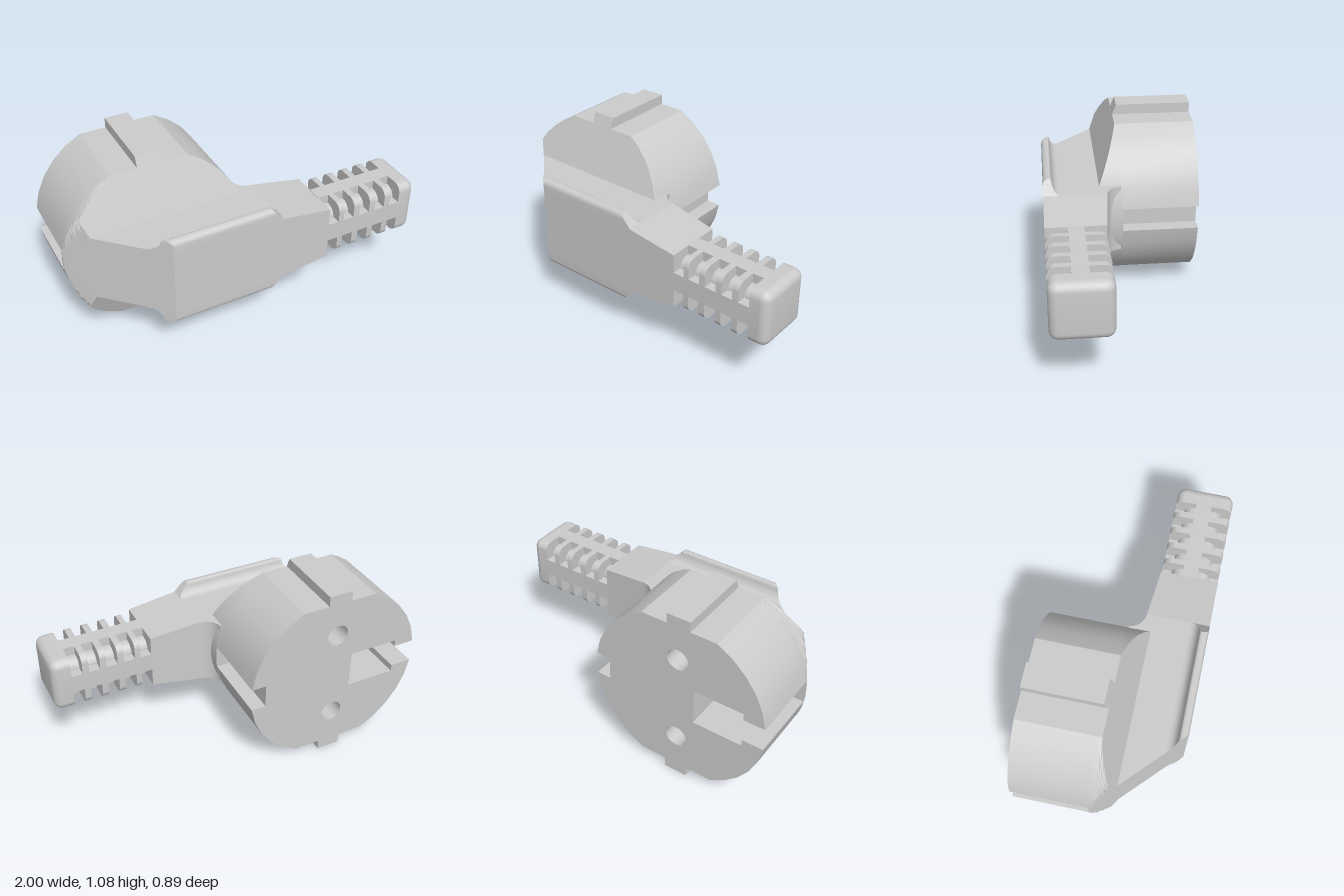
import * as THREE from 'three';
import { toCreasedNormals } from 'three/addons/utils/BufferGeometryUtils.js';
import { RoundedBoxGeometry } from 'three/addons/geometries/RoundedBoxGeometry.js';

const material = new THREE.MeshStandardMaterial({ color: 0xcccccc });
const CX = -0.47, CY = 0.54, R = 0.53, FLAT = 0.48;   // head centre, radius, flat top/bottom
const slopeX = z => -1 + z * 1.045;                   // slanted left side of the body
const roofH = z => Math.min(FLAT, 0.54 - (z + 0.01) * 2.48); // sloping shoulders

function add(parent, name, geometry, crease = 0.5) {
  const mesh = new THREE.Mesh(toCreasedNormals(geometry, crease), material);
  mesh.name = name;
  parent.add(mesh);
  return mesh;
}

// Points given as [x, y]
const polygon = pts => new THREE.Shape(pts.map(p => new THREE.Vector2(p[0], p[1])));

const extrude = (shape, depth) =>
  new THREE.ExtrudeGeometry(shape, { depth, bevelEnabled: false, curveSegments: 8 });

// Extrudes a profile of (-z, y) along x
const alongX = (shape, x0, x1) => extrude(shape, x1 - x0).rotateY(Math.PI / 2).translate(x0, 0, 0);

function moveVertices(geometry, rule) {
  const p = geometry.attributes.position, v = new THREE.Vector3();
  for (let i = 0; i < p.count; i++) {
    rule(v.fromBufferAttribute(p, i));
    p.setXYZ(i, v.x, v.y, v.z);
  }
  return geometry;
}

function roundedRect(w, h, r) {
  const s = new THREE.Shape(), a = w / 2 - r, b = h / 2 - r, q = Math.PI / 2;
  s.absarc(a, b, r, 0, q);
  s.absarc(-a, b, r, q, 2 * q);
  s.absarc(-a, -b, r, 2 * q, 3 * q);
  s.absarc(a, -b, r, 3 * q, 4 * q);
  return s;
}

// Round head with side grooves, earth pocket and two pin holes
function headGeometry() {
  const pts = [], g = 0.07;
  const a0 = Math.asin(g / R), a1 = Math.asin(FLAT / R), n = 5;
  const arc = (from, to) => {
    for (let i = 0; i <= n; i++) {
      const a = from + (to - from) * i / n;
      pts.push([R * Math.cos(a), R * Math.sin(a)]);
    }
  };
  arc(a0, a1);
  arc(Math.PI - a1, Math.PI - a0);
  pts.push([-0.4, g], [-0.4, 0.11], [-0.105, 0.11], [-0.105, -0.11], [-0.4, -0.11], [-0.4, -g]);
  arc(Math.PI + a0, Math.PI + a1);
  arc(-a1, -a0);
  pts.push([0.44, -g], [0.44, g]);
  const shape = polygon(pts);
  for (const s of [-1, 1]) {
    shape.holes.push(new THREE.Path().absarc(0, s * 0.27, 0.065, 0, Math.PI * 2, true));
  }
  return extrude(shape, 0.44).translate(CX, CY, -0.45);
}

// Shoulder: disc sections cut by the two sloping planes and the slanted side
function shoulderGeometry() {
  const zs = [-0.01, 0.002, 0.0142, 0.03, 0.05, 0.07, 0.09, 0.108, 0.125], N = 20;
  const pos = [];
  const quad = (a, b, c, d) => pos.push(...a, ...b, ...c, ...a, ...c, ...d);
  const layers = zs.map(z => {
    const right = [], left = [];
    for (let j = 0; j <= N; j++) {
      const y = roofH(z) * (2 * j / N - 1), x = Math.sqrt(R * R - y * y);
      right.push([CX + x, CY + y, z]);
      left.push([Math.max(CX - x, slopeX(z)), CY + y, z]);
    }
    return [...right, ...left.reverse()];
  });
  const M = 2 * (N + 1);
  for (let k = 0; k < zs.length - 1; k++) {
    const a = layers[k], b = layers[k + 1];
    for (let i = 0; i < M; i++) {
      const j = (i + 1) % M;
      quad(a[i], a[j], b[j], b[i]);
    }
  }
  const back = layers[0];
  for (let j = 0; j < N; j++) quad(back[j], back[M - 1 - j], back[M - 2 - j], back[j + 1]);
  const geo = new THREE.BufferGeometry();
  geo.setAttribute('position', new THREE.Float32BufferAttribute(pos, 3));
  return geo;
}

// Body: plan outline of (x, z) extruded along y, with a hollow fillet at the back
function bodyGeometry() {
  const s = new THREE.Shape();
  s.moveTo(slopeX(0.12), 0.12);
  s.lineTo(-0.1, 0.12);
  s.lineTo(-0.1, 0);
  s.lineTo(0.028, 0);
  s.bezierCurveTo(0.035, 0.05, 0.07, 0.08, 0.12, 0.085);
  s.lineTo(0.12, 0.445);
  s.lineTo(slopeX(0.445), 0.445);
  return extrude(s, 0.41).rotateX(Math.PI / 2).translate(0, CY + 0.205, 0);
}

// Grip lip along the front edge, trimmed by the slanted side and a chamfer
function lipGeometry(side) {
  const s = new THREE.Shape(), y = h => CY + side * h;
  s.moveTo(-0.445, y(0.19));
  s.lineTo(-0.445, y(0.245));
  s.bezierCurveTo(-0.445, y(0.27), -0.43, y(0.28), -0.41, y(0.28));
  s.bezierCurveTo(-0.39, y(0.28), -0.4, y(0.257), -0.385, y(0.235));
  s.bezierCurveTo(-0.375, y(0.215), -0.36, y(0.206), -0.34, y(0.205));
  s.lineTo(-0.34, y(0.19));
  return moveVertices(alongX(s, 0, 1), v => {
    v.x = v.x < 0.5 ? slopeX(v.z) : 0.05 + (0.28 - Math.abs(v.y - CY)) * 0.93;
  });
}

export function createModel() {
  const model = new THREE.Group();
  model.name = 'angledPlug';

  add(model, 'plugHead', headGeometry());
  add(model, 'shoulder', shoulderGeometry(), 0.35);
  add(model, 'body', bodyGeometry());

  for (const side of [1, -1]) {
    const name = side > 0 ? 'upper' : 'lower';
    const key = polygon([[0.45, 0.4], [0.45, 0.54], [0.01, 0.54], [-0.046, 0.4]]
      .map(([z, h]) => [z, CY + side * h]));
    add(model, name + 'KeyRib', alongX(key, -0.54, -0.4));
    add(model, name + 'GripLip', lipGeometry(side));
  }

  // Tapered neck
  add(model, 'neck', moveVertices(new THREE.BoxGeometry(1, 1, 1), v => {
    const end = v.x > 0;
    v.x = end ? 0.415 : 0.12;
    v.y = CY + Math.sign(v.y) * (end ? 0.165 : 0.205);
    v.z = v.z > 0 ? 0.445 : end ? 0.11 : 0.085;
  }), 0.1);

  // Strain relief: rounded core, cross bars, ribs and a rounded end
  const relief = new THREE.Group();
  relief.name = 'strainRelief';
  relief.position.set(0, CY + 0.002, 0.2775);
  model.add(relief);
  const W = 0.335, H = 0.33;
  add(relief, 'core', alongX(roundedRect(0.225, 0.22, 0.06), 0.41, 0.9));
  const bar = (name, h, d) =>
    add(relief, name, new THREE.BoxGeometry(0.49, h, d).translate(0.655, 0, 0));
  bar('uprightBars', H, 0.09);
  bar('crossBars', 0.11, W);
  for (const [x0, x1] of [[0.48, 0.513], [0.58, 0.618], [0.685, 0.722], [0.788, 0.825], [0.89, 0.95]]) {
    add(relief, x1 > 0.9 ? 'endCollar' : 'rib', alongX(roundedRect(W, H, 0.05), x0, x1));
  }
  add(relief, 'endCap', new RoundedBoxGeometry(0.11, H, W, 5, 0.05).translate(0.945, 0, 0));

  return model;
}
